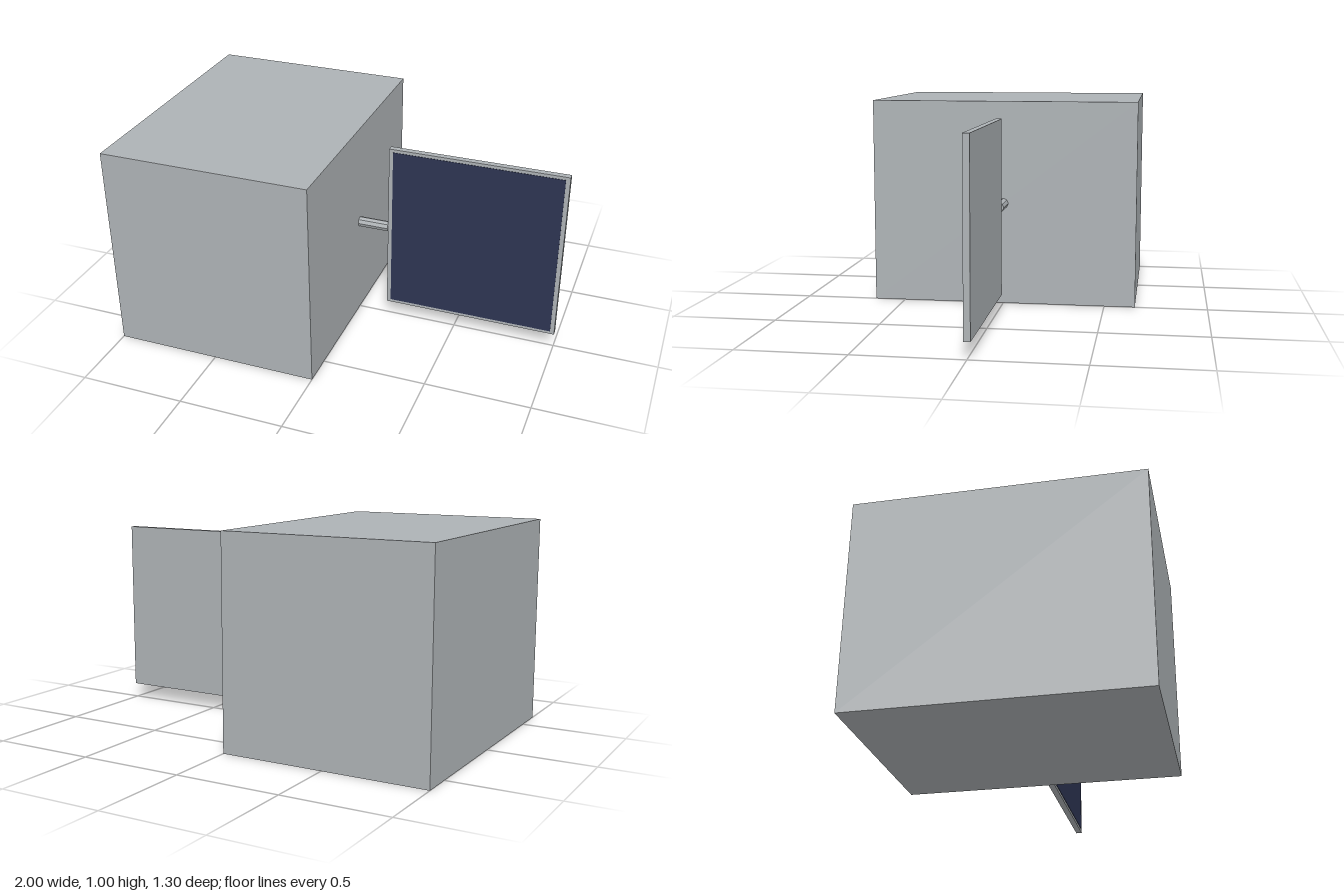
import * as THREE from 'three';

export function createModel() {
  const model = new THREE.Group();
  const grey = new THREE.MeshStandardMaterial({ color: 0xadb2b5 });
  grey.name = 'metal grey';
  const navy = new THREE.MeshStandardMaterial({ color: 0x2d3452 });
  navy.name = 'solar cell navy';

  const add = (name, geometry, material, x, y, z) => {
    const mesh = new THREE.Mesh(geometry, material);
    mesh.name = name;
    mesh.position.set(x, y, z);
    model.add(mesh);
  };

  // Main box
  add('body', new THREE.BoxGeometry(1, 1, 1.3), grey, -0.5, 0.5, 0);

  // Eight-sided arm, flat-faceted, joining body and panel
  const arm = new THREE.CylinderGeometry(0.025, 0.025, 0.15, 8).rotateZ(Math.PI / 2).toNonIndexed();
  arm.computeVertexNormals();
  add('panelArm', arm, grey, 0.075, 0.5, 0);

  // Square panel with a thin cell plate on its front
  add('panelFrame', new THREE.BoxGeometry(0.85, 0.85, 0.03), grey, 0.575, 0.5, 0);
  add('solarCell', new THREE.BoxGeometry(0.81, 0.82, 0.004), navy, 0.575, 0.5, 0.015);

  return model;
}
